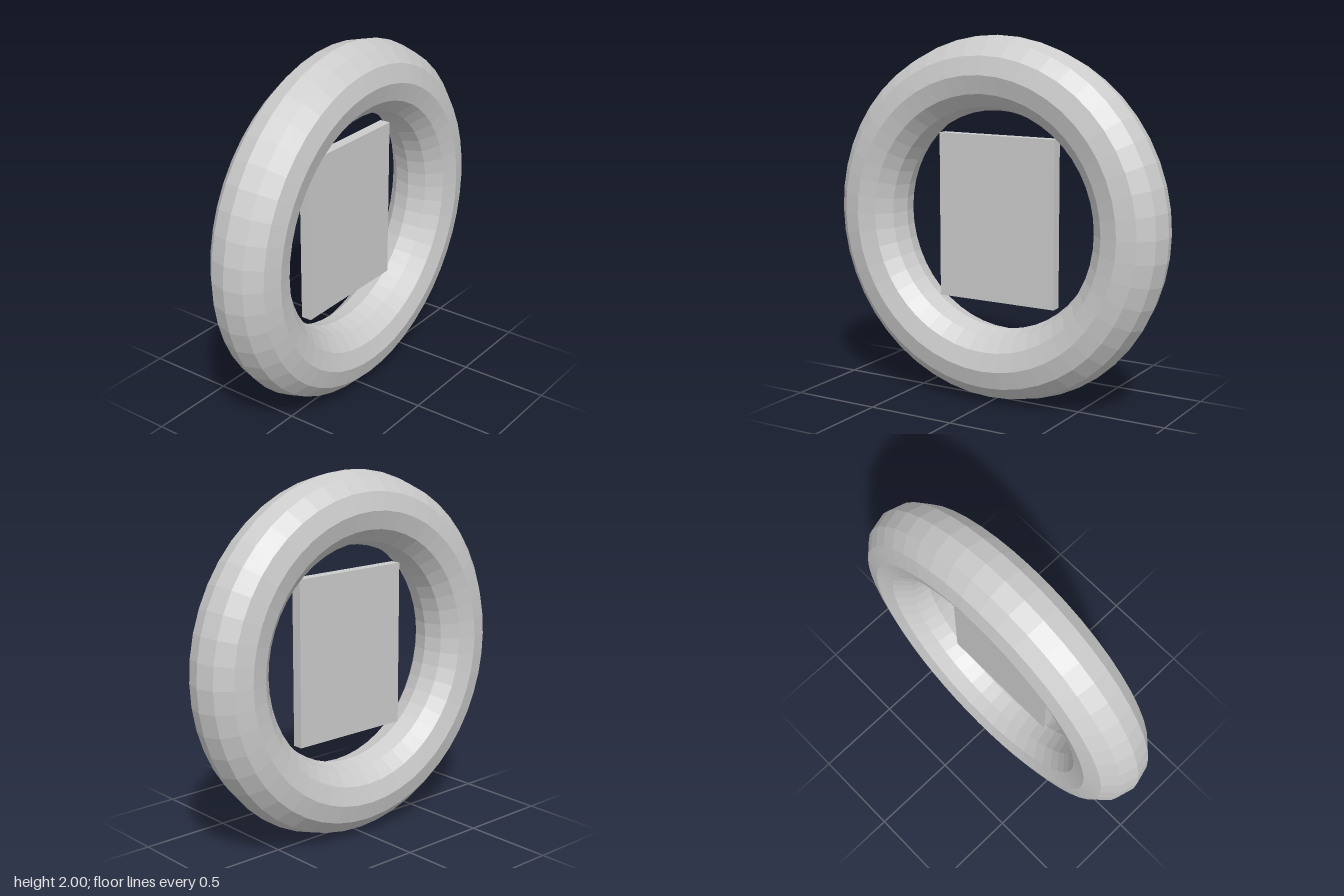
import * as THREE from 'three';

export function createModel() {
  const model = new THREE.Group();
  const material = new THREE.MeshStandardMaterial({ color: 0xcccccc, flatShading: true });

  const addPart = (name, geometry, y) => {
    const mesh = new THREE.Mesh(geometry, material);
    mesh.name = name;
    mesh.position.y = y;
    model.add(mesh);
    return mesh;
  };

  // Faceted ring standing in the YZ plane, leaning very slightly to +x
  const ring = new THREE.TorusGeometry(0.8, 0.2, 12, 48).rotateY(Math.PI / 2);
  addPart('ring', ring, 1).rotation.z = -0.008;

  // Thin upright panel floating in the opening
  addPart('panel', new THREE.BoxGeometry(0.06, 0.915, 0.715), 1.007);

  return model;
}
